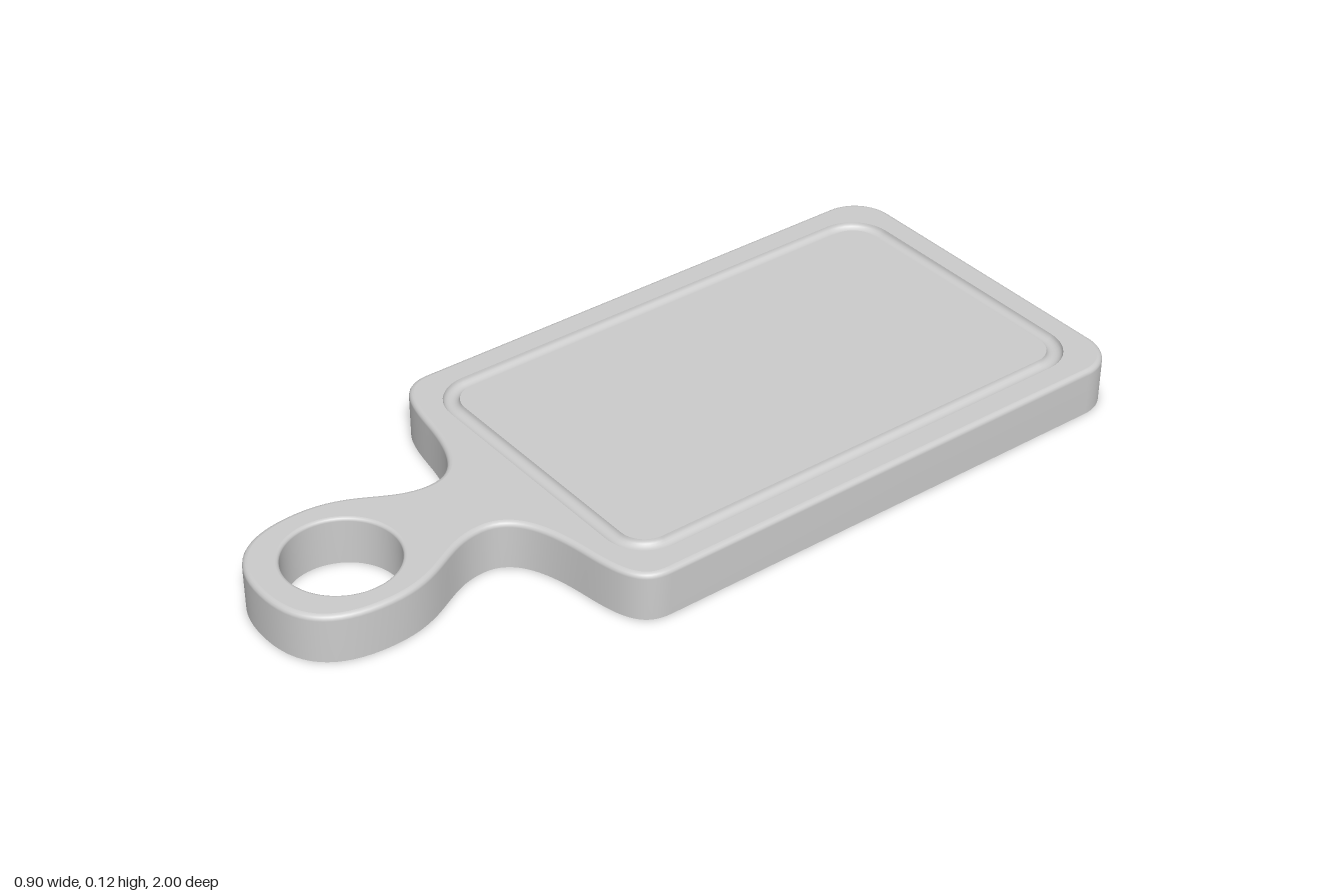
import * as THREE from 'three';

const H = 0.117;      // board height
const FILLET = 0.012; // rounding of the top edges
const material = new THREE.MeshStandardMaterial({ color: 0xcccccc, side: THREE.DoubleSide });

// Plan points are (x, -z), counter-clockwise seen from above.
function outlinePoints() {
  const p = new THREE.Path();
  p.moveTo(0, -1);
  p.bezierCurveTo(0.12, -1, 0.187, -0.94, 0.187, -0.8);      // rounded handle end
  p.bezierCurveTo(0.187, -0.66, 0.1, -0.62, 0.1, -0.52);     // taper to the neck
  p.bezierCurveTo(0.1, -0.44, 0.19, -0.41, 0.3, -0.395);     // flare into the board
  p.bezierCurveTo(0.4, -0.38, 0.45, -0.36, 0.45, -0.29);     // front corner
  p.lineTo(0.45, 0.9);
  p.absarc(0.35, 0.9, 0.1, 0, Math.PI / 2);                  // back corner
  p.lineTo(0, 1);
  const half = p.getPoints(16).filter((a, i, all) => i === 0 || a.distanceTo(all[i - 1]) > 1e-5);
  const mirrored = half.slice(1, -1).reverse().map(a => new THREE.Vector2(-a.x, a.y));
  return [...half, ...mirrored];
}

// Move a closed loop inwards by d along its vertex normals
function inset(pts, d) {
  const n = pts.length;
  return pts.map((p, i) => {
    const t = pts[(i + 1) % n].clone().sub(p).normalize()
      .add(p.clone().sub(pts[(i + n - 1) % n]).normalize()).normalize();
    return new THREE.Vector2(p.x - t.y * d, p.y + t.x * d);
  });
}

function roundedRect(cy, hw, hl, r, steps = 10) {
  const pts = [];
  [[1, 1], [-1, 1], [-1, -1], [1, -1]].forEach(([sx, sy], k) => {
    for (let i = 0; i <= steps; i++) {
      const a = (k + i / steps) * Math.PI / 2;
      pts.push(new THREE.Vector2(sx * (hw - r) + r * Math.cos(a), cy + sy * (hl - r) + r * Math.sin(a)));
    }
  });
  return pts;
}

function circle(cy, r, n = 64) {
  return Array.from({ length: n }, (_, i) => {
    const a = i / n * Math.PI * 2;
    return new THREE.Vector2(r * Math.cos(a), cy + r * Math.sin(a));
  });
}

// Skin a stack of closed loops, each { pts, y }
function loft(name, rings) {
  const n = rings[0].pts.length, pos = [], idx = [];
  rings.forEach(({ pts, y }) => pts.forEach(p => pos.push(p.x, y, -p.y)));
  for (let j = 0; j < rings.length - 1; j++) {
    for (let i = 0; i < n; i++) {
      const a = j * n + i, b = j * n + (i + 1) % n;
      idx.push(a, b, b + n, a, b + n, a + n);
    }
  }
  const g = new THREE.BufferGeometry();
  g.setAttribute('position', new THREE.Float32BufferAttribute(pos, 3));
  g.setIndex(idx);
  g.computeVertexNormals();
  return named(name, g);
}

function flat(name, pts, holes, y) {
  const shape = new THREE.Shape(pts);
  shape.holes = holes.map(h => new THREE.Path(h));
  return named(name, new THREE.ShapeGeometry(shape).rotateX(-Math.PI / 2).translate(0, y, 0));
}

function named(name, geometry) {
  const mesh = new THREE.Mesh(geometry, material);
  mesh.name = name;
  return mesh;
}

export function createModel() {
  const group = new THREE.Group();
  group.name = 'cuttingBoard';
  const outline = outlinePoints();

  // Quarter-round steps: f = distance inwards, y = height
  const round = [0, 1, 2, 3, 4].map(i => {
    const a = i / 4 * Math.PI / 2;
    return { f: FILLET * (1 - Math.cos(a)), y: H - FILLET * (1 - Math.sin(a)) };
  });

  // Outer wall, open underneath
  group.add(loft('outerWall', [{ pts: outline, y: 0 },
    ...round.map(({ f, y }) => ({ pts: inset(outline, f), y }))]));

  // Hanging hole through the handle
  const holeZ = -0.803, holeR = 0.128, lip = 0.008;
  const holeRings = [0, 1, 2, 3, 4].map(i => {
    const a = i / 4 * Math.PI / 2;
    return { pts: circle(holeZ, holeR + lip * (1 - Math.sin(a))), y: H - lip * (1 - Math.cos(a)) };
  });
  group.add(loft('handleHole', [...holeRings, { pts: circle(holeZ, holeR), y: 0 }]));

  // Juice groove: a shallow round channel
  const width = 0.038, depth = 0.016, steps = 10;
  const grooveLoop = d => roundedRect(0.301, 0.387 - d, 0.637 - d, 0.1 - d);
  const grooveRings = [];
  for (let i = 0; i <= steps; i++) {
    const a = i / steps * Math.PI;
    grooveRings.push({ pts: grooveLoop(width * (1 - Math.cos(a)) / 2), y: H - depth * Math.sin(a) });
  }
  group.add(loft('juiceGroove', grooveRings));

  // Top surfaces outside and inside the groove
  group.add(flat('topRim', inset(outline, FILLET), [grooveLoop(0), holeRings[0].pts], H));
  group.add(flat('cuttingSurface', grooveLoop(width), [], H));
  return group;
}
